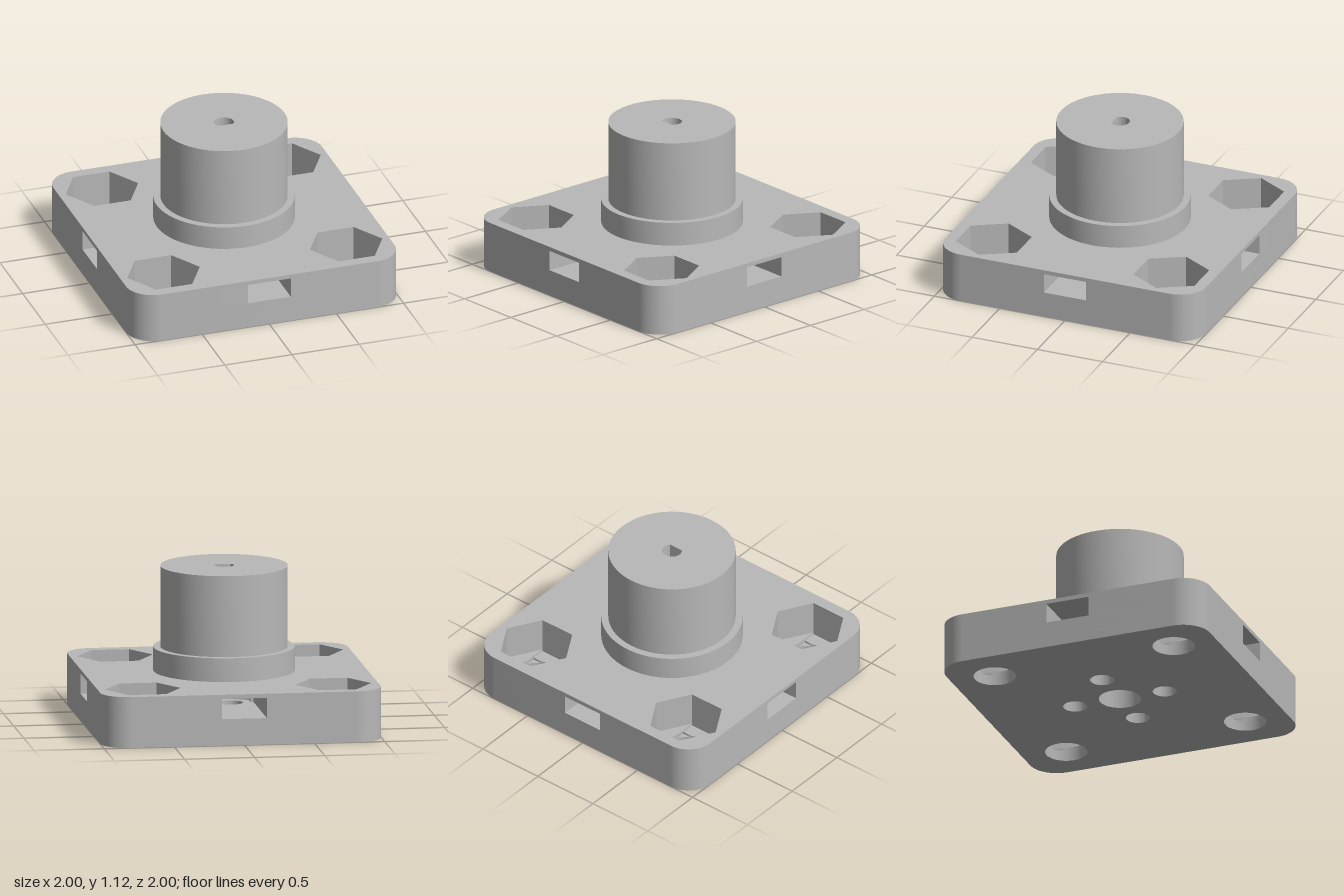
import * as THREE from 'three';
import { toCreasedNormals } from 'three/addons/utils/BufferGeometryUtils.js';

const PI = Math.PI;
const grey = new THREE.MeshStandardMaterial({ color: 0xb8b8b8 });
grey.name = 'grey plastic';

// Extrudes a plan shape upward from y0 to y1
function layer(name, shape, y0, y1) {
  const geo = new THREE.ExtrudeGeometry(shape, { depth: y1 - y0, bevelEnabled: false, curveSegments: 32 });
  geo.rotateX(-PI / 2);
  geo.translate(0, y0, 0);
  const mesh = new THREE.Mesh(toCreasedNormals(geo, 0.5), grey);
  mesh.name = name;
  return mesh;
}

function circle(x, y, r, Type = THREE.Path) {
  return new Type().absarc(x, y, r, 0, PI * 2, false);
}

// Rounded square outline, optionally cut by a nut slot on each side
function plateOutline(slotted) {
  const slot = [[1, -0.16], [0.34, -0.16], [0.34, -0.14], [0.26, -0.14], [0.18, 0],
    [0.26, 0.14], [0.34, 0.14], [0.34, 0.16], [1, 0.16]];
  const shape = new THREE.Shape();
  shape.moveTo(1, -0.8);
  for (let k = 0; k < 4; k++) {
    const a = k * PI / 2, c = Math.round(Math.cos(a)), s = Math.round(Math.sin(a));
    if (slotted) for (const [x, y] of slot) shape.lineTo(x * c - y * s, x * s + y * c);
    shape.absarc(0.8 * (c - s), 0.8 * (s + c), 0.2, a, a + PI / 2, false);
  }
  return shape;
}

// Corner bolt openings, from the round hole up to the hexagonal pocket
const R = 0.15, H = 0.135, A = Math.acos(H / R);
const openings = {
  round: (x, y) => circle(x, y, R),
  square: (x, y) => {
    const p = new THREE.Path();
    p.moveTo(x + H, y - H);
    [[1, 1], [-1, 1], [-1, -1], [1, -1]].forEach(([i, j], k) => {
      p.absarc(x, y, R, k * PI / 2 - A, k * PI / 2 + A, false);
      p.lineTo(x + i * H, y + j * H);
    });
    return p;
  },
  oblong: (x, y) => {
    const p = new THREE.Path(), L = 0.234;
    p.moveTo(x + H, y - L);
    for (const s of [1, -1]) {
      const m = s > 0 ? 0 : PI;
      p.absarc(x, y, R, m - A, m + A, false);
      p.lineTo(x + s * H, y + s * L);
      p.lineTo(x - s * H, y + s * L);
    }
    return p;
  },
  hexagon: (x, y) => new THREE.Path(Array.from({ length: 6 }, (_, i) =>
    new THREE.Vector2(x + 0.27 * Math.cos(i * PI / 3), y + 0.27 * Math.sin(i * PI / 3)))),
};

function plateLayer(kind, y0, y1, slotted, screwHoles) {
  const shape = plateOutline(slotted);
  for (const x of [-0.68, 0.68]) for (const y of [-0.68, 0.68]) shape.holes.push(openings[kind](x, y));
  shape.holes.push(circle(0, 0, 0.15));
  if (screwHoles) {
    for (const [x, y] of [[1, 0], [-1, 0], [0, 1], [0, -1]]) shape.holes.push(circle(0.34 * x, 0.34 * y, 0.085));
  }
  return layer(kind + 'HoleLayer', shape, y0, y1);
}

export function createModel() {
  const model = new THREE.Group();
  model.name = 'flangedHub';

  // Base plate with stepped corner pockets and side nut slots
  const plate = new THREE.Group();
  plate.name = 'basePlate';
  plate.add(
    plateLayer('round', 0, 0.075, false, true),
    plateLayer('square', 0.075, 0.09, false, true),
    plateLayer('oblong', 0.09, 0.105, false, true),
    plateLayer('hexagon', 0.105, 0.19, false, true),
    plateLayer('hexagon', 0.19, 0.335, true, false),
    plateLayer('hexagon', 0.335, 0.365, false, false),
  );
  model.add(plate);

  // Collar closing the central bore
  model.add(layer('collar', circle(0, 0, 0.5, THREE.Shape), 0.365, 0.535));

  // Hub with a D-shaped shaft socket
  const hub = circle(0, 0, 0.45, THREE.Shape);
  const flat = Math.asin(0.045 / 0.07);
  hub.holes.push(new THREE.Path().absarc(0, 0, 0.07, -flat, PI + flat, false));
  model.add(layer('hub', hub, 0.535, 1.115));

  return model;
}
